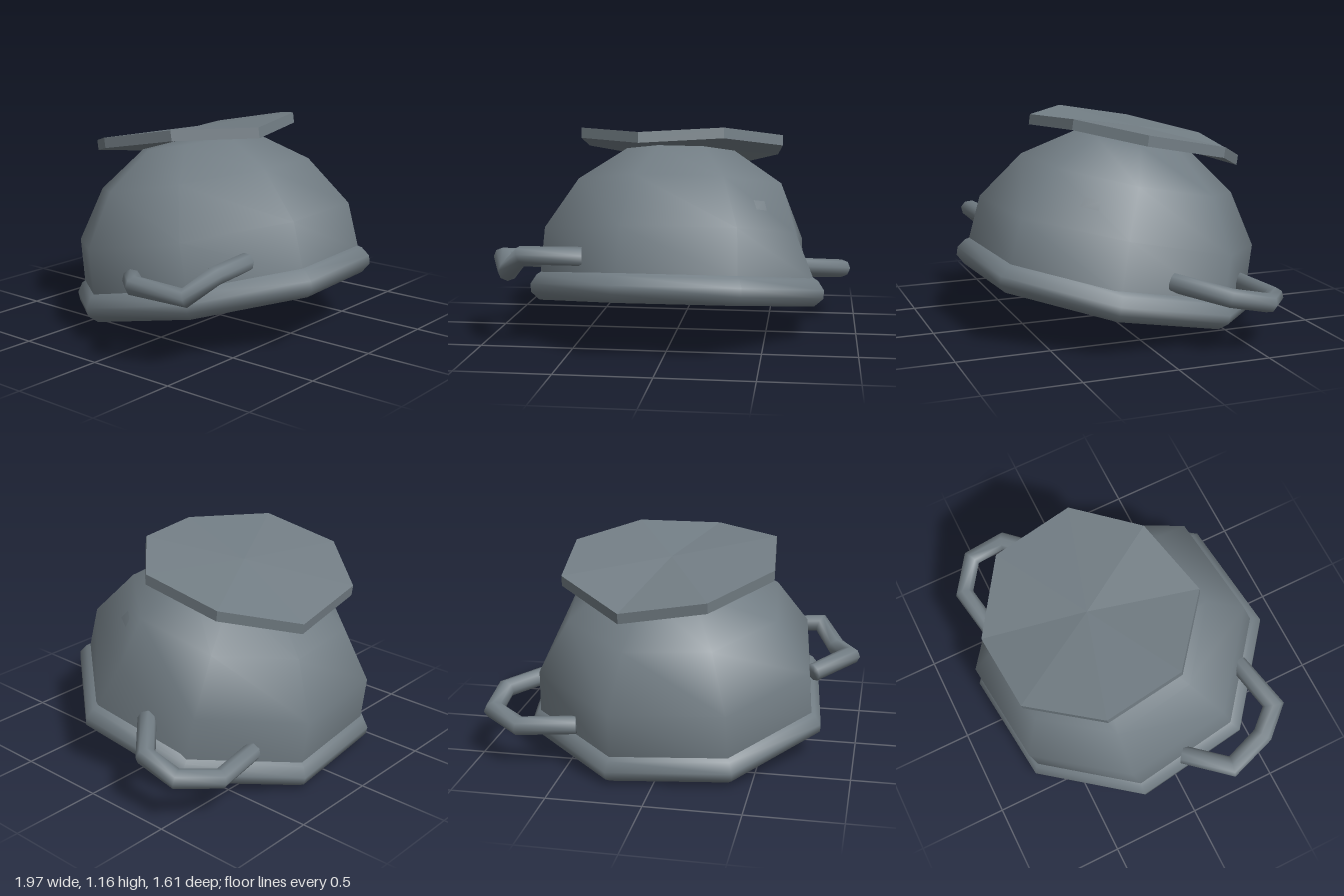
import * as THREE from 'three';
import { mergeVertices } from 'three/addons/utils/BufferGeometryUtils.js';

const SIDES = 8;
const PHASE = 0.5;

// Eight-sided smooth lathe; dent(r, y, x, z) may scale a vertex inwards
function octagonLathe(profile, dent) {
  let g = new THREE.LatheGeometry(profile.map(p => new THREE.Vector2(...p)), SIDES, PHASE);
  const pos = g.attributes.position;
  if (dent) {
    for (let i = 0; i < pos.count; i++) {
      const k = dent(pos.getX(i), pos.getY(i), pos.getZ(i));
      pos.setX(i, pos.getX(i) * k);
      pos.setZ(i, pos.getZ(i) * k);
    }
  }
  g.deleteAttribute('uv');
  g.deleteAttribute('normal');
  g = mergeVertices(g, 1e-4);
  g.computeVertexNormals();
  return g;
}

// Mitred bar following a bent path, closed at both ends
function bentBar(points, radius, sides = 8) {
  const path = points.map(p => new THREE.Vector3(...p));
  const up = new THREE.Vector3(0, 0.98, -0.2);
  const verts = [], index = [];
  const last = path.length - 1;
  const addRing = (p, side, high, r) => {
    for (let j = 0; j < sides; j++) {
      const a = j / sides * Math.PI * 2;
      const v = p.clone().addScaledVector(side, Math.cos(a) * r).addScaledVector(high, Math.sin(a) * r);
      verts.push(v.x, v.y, v.z);
    }
  };
  path.forEach((p, i) => {
    const before = p.clone().sub(path[Math.max(i - 1, 0)]).normalize();
    const after = path[Math.min(i + 1, last)].clone().sub(p).normalize();
    const t = before.clone().add(after).normalize();
    const side = t.clone().cross(up).normalize();
    const high = side.clone().cross(t);
    const edge = i === 0 ? after : before;
    side.multiplyScalar(1 / Math.max(0.6, t.dot(edge)));
    if (i === 0) addRing(p, side, high, 0);
    addRing(p, side, high, radius);
    if (i === last) addRing(p, side, high, 0);
  });
  for (let i = 0; i < last + 2; i++) {
    for (let j = 0; j < sides; j++) {
      const a = i * sides + j, b = i * sides + (j + 1) % sides;
      index.push(a, b, a + sides, b, b + sides, a + sides);
    }
  }
  const g = new THREE.BufferGeometry();
  g.setAttribute('position', new THREE.Float32BufferAttribute(verts, 3));
  g.setIndex(index);
  g.computeVertexNormals();
  return g;
}

// Flat-sided plate through a loop of top corners
function warpedPlate(corners, centre, drop) {
  const verts = [];
  const low = p => p.map((v, i) => v + drop[i]);
  corners.forEach((a, i) => {
    const b = corners[(i + 1) % corners.length];
    verts.push(...a, ...b, ...centre);
    verts.push(...low(b), ...low(a), ...low(centre));
    verts.push(...a, ...low(a), ...b, ...b, ...low(a), ...low(b));
  });
  const g = new THREE.BufferGeometry();
  g.setAttribute('position', new THREE.Float32BufferAttribute(verts, 3));
  g.computeVertexNormals();
  return g;
}

export function createModel() {
  const model = new THREE.Group();
  model.name = 'upturnedPot';
  const metal = new THREE.MeshStandardMaterial({ color: 0x727d84, side: THREE.DoubleSide });
  metal.name = 'greyMetal';

  const add = (parent, name, geometry) => {
    const mesh = new THREE.Mesh(geometry, metal);
    mesh.name = name;
    parent.add(mesh);
  };

  // Tilted body
  const body = new THREE.Group();
  body.name = 'body';
  body.rotation.x = -0.205;
  body.position.set(0, 0.009, 0.044);
  model.add(body);

  // Bowl: inner wall down, then outer wall up; one corner is knocked in
  const dent = (x, y, z) =>
    Math.abs(y - 0.53) < 0.03 && Math.abs(Math.atan2(x, z) - (PHASE + Math.PI / 4)) < 0.1 ? 0.88 : 1;
  add(body, 'bowl', octagonLathe([
    [0, 1.0], [0.31, 0.97], [0.58, 0.79], [0.755, 0.52], [0.735, 0.16],
    [0.80, 0.16], [0.80, 0.28], [0.783, 0.54], [0.60, 0.815], [0.324, 1.0], [0, 1.03]
  ], dent));

  // Rolled rim
  add(body, 'rim', octagonLathe([
    [0.735, 0.2], [0.735, 0.147], [0.80, 0.148], [0.85, 0.19], [0.853, 0.235], [0.82, 0.285], [0.78, 0.31]
  ]));

  // Bent side handles
  add(model, 'leftHandle', bentBar([
    [0.44, 0.243, -0.61], [0.74, 0.235, -0.66], [0.92, 0.262, -0.53], [0.92, 0.308, -0.32], [0.69, 0.352, -0.10]
  ], 0.05));
  add(model, 'rightHandle', bentBar([
    [-0.75, 0.39, 0.03], [-0.94, 0.435, 0.235], [-0.85, 0.40, 0.48], [-0.745, 0.51, 0.59], [-0.44, 0.50, 0.53]
  ], 0.05));

  // Warped base plate on top
  add(model, 'basePlate', warpedPlate([
    [-0.52, 1.14, 0.10], [-0.16, 1.14, 0.39], [0.28, 1.16, 0.29], [0.58, 1.10, -0.01],
    [0.54, 1.01, -0.46], [0.18, 0.90, -0.72], [-0.27, 0.97, -0.69], [-0.56, 1.06, -0.34]
  ], [0.01, 1.07, -0.175], [0, -0.056, 0.008]));

  return model;
}
